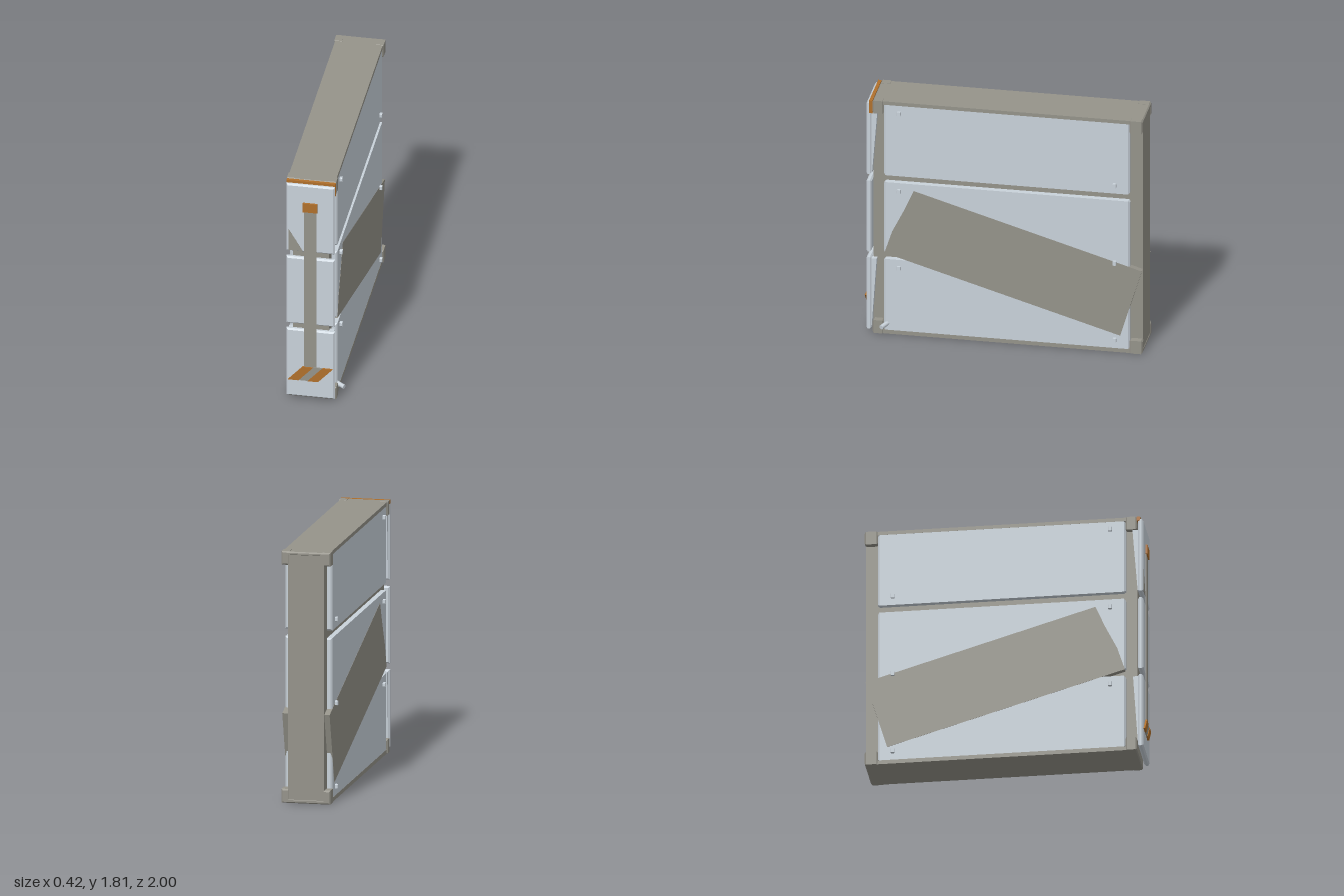
import * as THREE from 'three';

const plate = new THREE.MeshStandardMaterial({ color: 0xc9d2da });
plate.name = 'pale blue grey';
const frame = new THREE.MeshStandardMaterial({ color: 0x95938a });
frame.name = 'warm grey';
const accent = new THREE.MeshStandardMaterial({ color: 0xb0702c });
accent.name = 'orange';

// Lateral layout: the body is slightly offset from x = 0.
const MID = -0.0225;

export function createModel() {
  const model = new THREE.Group();
  model.name = 'panelledBlock';

  function add(name, geometry, material) {
    const mesh = new THREE.Mesh(geometry, material);
    mesh.name = name;
    model.add(mesh);
    return mesh;
  }

  // Box given by its limits, with an optional chamfer on every edge.
  function block(name, material, [x0, x1], [y0, y1], [z0, z1], c = 0) {
    let g;
    if (c) {
      const s = new THREE.Shape();
      const a = x0 + c, b = x1 - c, d = y0 + c, e = y1 - c;
      s.moveTo(a, d).lineTo(b, d).lineTo(b, e).lineTo(a, e).closePath();
      g = new THREE.ExtrudeGeometry(s, {
        depth: z1 - z0 - 2 * c, bevelEnabled: true,
        bevelThickness: c, bevelSize: c, bevelSegments: 1,
      });
      g.translate(0, 0, z0 + c);
    } else {
      g = new THREE.BoxGeometry(x1 - x0, y1 - y0, z1 - z0);
      g.translate((x0 + x1) / 2, (y0 + y1) / 2, (z0 + z1) / 2);
    }
    return add(name, g, material);
  }

  // Outline of [z, y] points extruded across x.
  function sidePrism(name, material, points, x0, x1) {
    const shape = new THREE.Shape(points.map(([z, y]) => new THREE.Vector2(-z, y)));
    const g = new THREE.ExtrudeGeometry(shape, { depth: x1 - x0, bevelEnabled: false });
    g.rotateY(Math.PI / 2).translate(x0, 0, 0);
    return add(name, g, material);
  }

  // Outline of [x, y] points as a thin plate facing front.
  function frontPlate(name, material, points, z0, depth) {
    const shape = new THREE.Shape(points.map(([x, y]) => new THREE.Vector2(x, y)));
    const g = new THREE.ExtrudeGeometry(shape, { depth, bevelEnabled: false });
    return add(name, g.translate(0, 0, z0), material);
  }

  // Recessed core with wider top and bottom slabs
  block('core', frame, [-0.155, 0.105], [0.01, 1.8], [-0.997, 0.94]);
  block('topSlab', frame, [-0.193, 0.148], [1.785, 1.812], [-1, 0.94], 0.008);
  block('bottomSlab', frame, [-0.193, 0.148], [0, 0.03], [-1, 0.94], 0.008);

  // Three rows of side panels with rivets
  const rows = [[0.03, 0.582], [0.632, 1.182], [1.236, 1.788]];
  for (const side of [-1, 1]) {
    const span = (a, b) => [MID + side * a, MID + side * b].sort((p, q) => p - q);
    for (const [y0, y1] of rows) {
      block('sidePanel', plate, span(0.12, 0.17), [y0, y1], [-0.908, 0.86], 0.012);
      for (const [z, y] of [[0.75, y1 - 0.062], [-0.8, y0 + 0.065]]) {
        block('rivet', plate, span(0.16, 0.19), [y - 0.016, y + 0.016], [z - 0.014, z + 0.014], 0.004);
      }
    }
    // Corner brackets
    for (const y of [[0, 0.1], [1.715, 1.814]]) {
      for (const z of [[-1, -0.905], [0.86, 0.94]]) {
        block('cornerBracket', frame, span(0.12, 0.177), y, z, 0.01);
      }
    }
    // Slanted slab lying across the lower two rows
    const [x0, x1] = span(0.125, 0.1715);
    sidePrism('diagonalSlab', frame, [
      [0.855, 0.63], [0.8, 0.8], [0.715, 0.97], [0.645, 1.13],
      [-0.995, 0.645], [-0.84, 0.13],
    ], x0, x1);
  }

  // Front panels
  for (const [y0, y1] of rows) {
    block('frontPanel', plate, [-0.195, 0.152], [y0, y1 + 0.005], [0.948, 0.986], 0.011);
  }
  // Tapered backs of the upper and lower front panels
  sidePrism('upperPanelBack', plate, [[0.955, 1.245], [0.955, 1.715], [0.908, 1.715], [0.945, 1.245]], -0.185, 0.142);
  sidePrism('lowerPanelBack', plate, [[0.955, 0.04], [0.955, 0.575], [0.912, 0.575], [0.948, 0.04]], -0.185, 0.142);
  // Grey corner wedge on the upper panel
  frontPlate('cornerWedge', frame, [[-0.178, 1.245], [-0.075, 1.245], [-0.178, 1.42]], 0.98, 0.007);

  // Orange trim over the top and down the left corner
  block('trimTop', accent, [-0.197, 0.155], [1.783, 1.812], [0.94, 0.964]);
  block('trimCorner', accent, [0.138, 0.156], [1.715, 1.812], [0.94, 0.965]);

  // Central strap with orange cap and slanted stripes
  block('strap', frame, [-0.067, 0.024], [0.17, 1.6], [0.986, 0.991]);
  block('strapCap', accent, [-0.075, 0.03], [1.578, 1.65], [0.986, 1]);
  const slant = (x0, x1) => [[x0, 0.17], [x1, 0.17], [x1 + 0.105, 0.285], [x0 + 0.105, 0.285]];
  frontPlate('stripeBase', frame, slant(-0.105, -0.035), 0.986, 0.008);
  frontPlate('stripeRight', accent, slant(-0.18, -0.105), 0.986, 0.012);
  frontPlate('stripeLeft', accent, slant(-0.04, 0.035), 0.986, 0.012);

  // Small spout near the lower front corner
  const start = new THREE.Vector3(0.12, 0.083, 0.823);
  const end = new THREE.Vector3(0.2, 0.07, 0.868);
  const dir = end.clone().sub(start);
  const spout = add('spout', new THREE.CylinderGeometry(0.017, 0.017, dir.length(), 8), plate);
  spout.position.copy(start).add(end).multiplyScalar(0.5);
  spout.quaternion.setFromUnitVectors(new THREE.Vector3(0, 1, 0), dir.normalize());

  return model;
}
